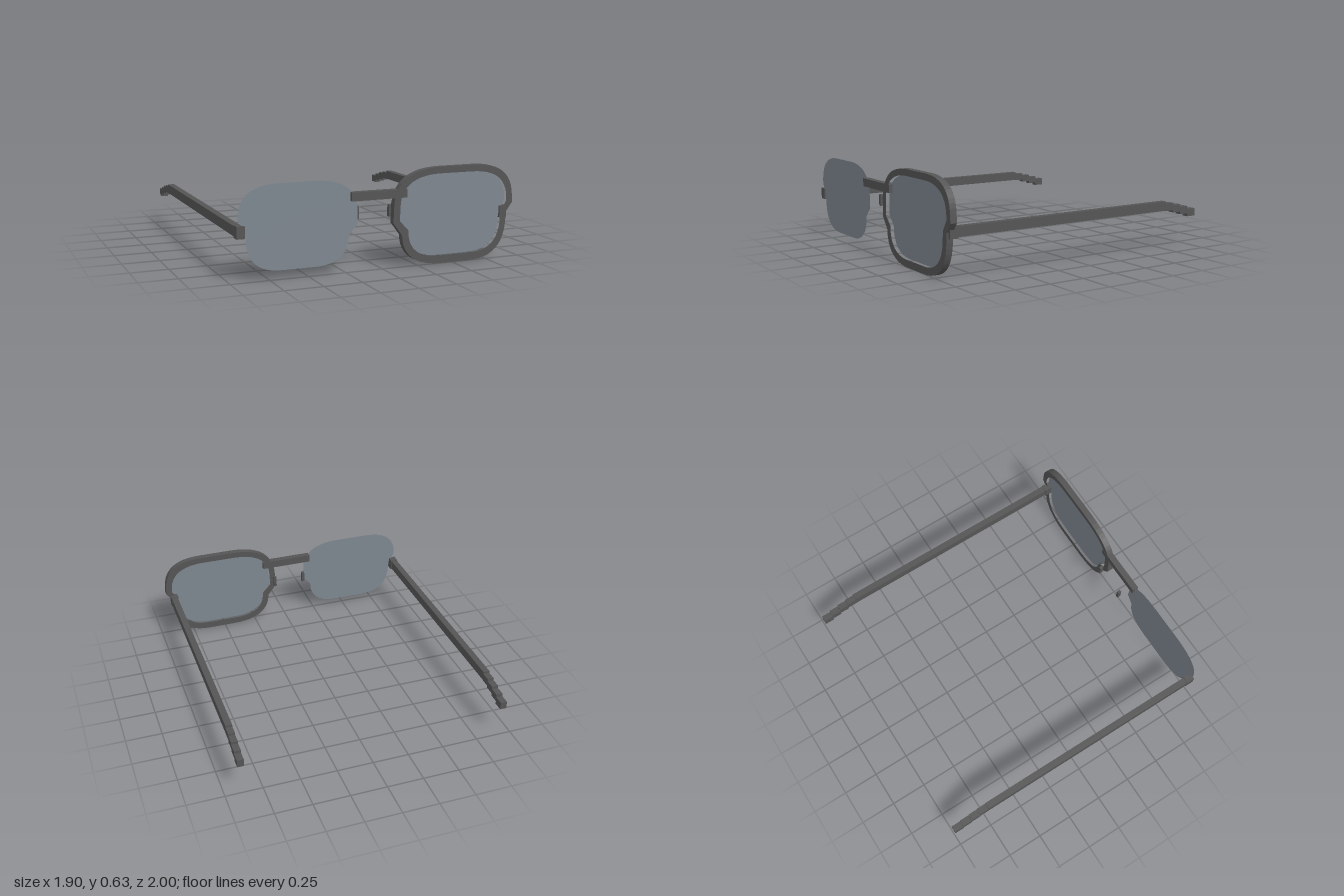
import * as THREE from 'three';

const AXIS = -0.02; // mirror line of the spectacles

// Rounded outline with a small notch on the nose side and the temple side
function trace(path, p) {
  path.moveTo(...p.nose);
  path.lineTo(...p.noseTop);
  path.bezierCurveTo(...p.c1);
  path.lineTo(...p.topEnd);
  path.bezierCurveTo(...p.c2);
  for (const q of p.notch) path.lineTo(...q);
  path.bezierCurveTo(...p.c3);
  path.lineTo(...p.bottomEnd);
  path.bezierCurveTo(...p.c4);
  path.closePath();
  return path;
}

const lensOutline = {
  nose: [0.12, 0.30], noseTop: [0.125, 0.415],
  c1: [0.14, 0.53, 0.24, 0.587, 0.41, 0.587], topEnd: [0.64, 0.587],
  c2: [0.80, 0.587, 0.895, 0.53, 0.90, 0.40],
  notch: [[0.90, 0.378], [0.862, 0.315], [0.855, 0.27]],
  c3: [0.85, 0.11, 0.77, 0.05, 0.62, 0.05], bottomEnd: [0.40, 0.05],
  c4: [0.26, 0.05, 0.18, 0.11, 0.18, 0.235],
};
const rimOutline = {
  nose: [0.075, 0.287], noseTop: [0.08, 0.415],
  c1: [0.10, 0.56, 0.21, 0.63, 0.42, 0.63], topEnd: [0.66, 0.63],
  c2: [0.84, 0.63, 0.935, 0.56, 0.942, 0.42],
  notch: [[0.945, 0.365], [0.90, 0.305], [0.897, 0.24]],
  c3: [0.885, 0.08, 0.80, 0, 0.62, 0], bottomEnd: [0.42, 0],
  c4: [0.24, 0, 0.14, 0.07, 0.137, 0.205],
};

export function createModel() {
  const model = new THREE.Group();
  model.name = 'spectacles';
  const frame = new THREE.MeshStandardMaterial({ color: 0x555555 });
  frame.name = 'darkGreyFrame';
  const glass = new THREE.MeshStandardMaterial({ color: 0x7e8790, side: THREE.DoubleSide });
  glass.name = 'smokyGlass';

  const add = (name, geometry, material, parent = model) => {
    const mesh = new THREE.Mesh(geometry, material);
    mesh.name = name;
    parent.add(mesh);
    return mesh;
  };
  // Box given by its limits on each axis
  const box = (name, [x0, x1], [y0, y1], [z0, z1], parent) => {
    const g = new THREE.BoxGeometry(x1 - x0, y1 - y0, z1 - z0);
    g.translate((x0 + x1) / 2, (y0 + y1) / 2, (z0 + z1) / 2);
    return add(name, g, frame, parent);
  };

  // Left rim with its opening
  const rim = trace(new THREE.Shape(), rimOutline);
  rim.holes.push(trace(new THREE.Path(), lensOutline));
  const rimGeometry = new THREE.ExtrudeGeometry(rim, { depth: 0.045, bevelEnabled: false, curveSegments: 12 });
  add('leftRim', rimGeometry.translate(0, 0, 0.955), frame);

  // Flat lenses, the right one mirrored
  const lens = new THREE.ShapeGeometry(trace(new THREE.Shape(), lensOutline), 12);
  lens.translate(0, 0, 0.975);
  add('leftLens', lens, glass);
  const rightLens = lens.clone().rotateY(Math.PI);
  rightLens.translate(2 * AXIS, 0, 2 * 0.975);
  add('rightLens', rightLens, glass);

  box('bridge', [-0.21, 0.17], [0.447, 0.502], [0.954, 0.999]);

  // Hinge, temple arm with stepped tip, and nose pad on each side
  for (const [side, s] of [['left', 1], ['right', -1]]) {
    const group = new THREE.Group();
    group.name = side + 'Arm';
    model.add(group);
    const span = (a, b) => (s > 0 ? [AXIS + a, AXIS + b] : [AXIS - b, AXIS - a]);
    box('hinge', span(0.880, 0.932), [0.265, 0.343], [0.925, 0.985], group);
    box('temple', span(0.885, 0.930), [0.273, 0.337], [-0.73, 0.95], group);
    const tops = [0.322, 0.306, 0.287, 0.266];
    tops.forEach((top, i) => {
      const z = -0.73 - i * 0.0675;
      box('tipStep', span(0.885, 0.930), [top - 0.052, top], [z - 0.0675, z], group);
    });
    box(side + 'NosePad', span(0.104, 0.124), [0.315, 0.392], [0.89, 0.915]);
  }
  return model;
}
